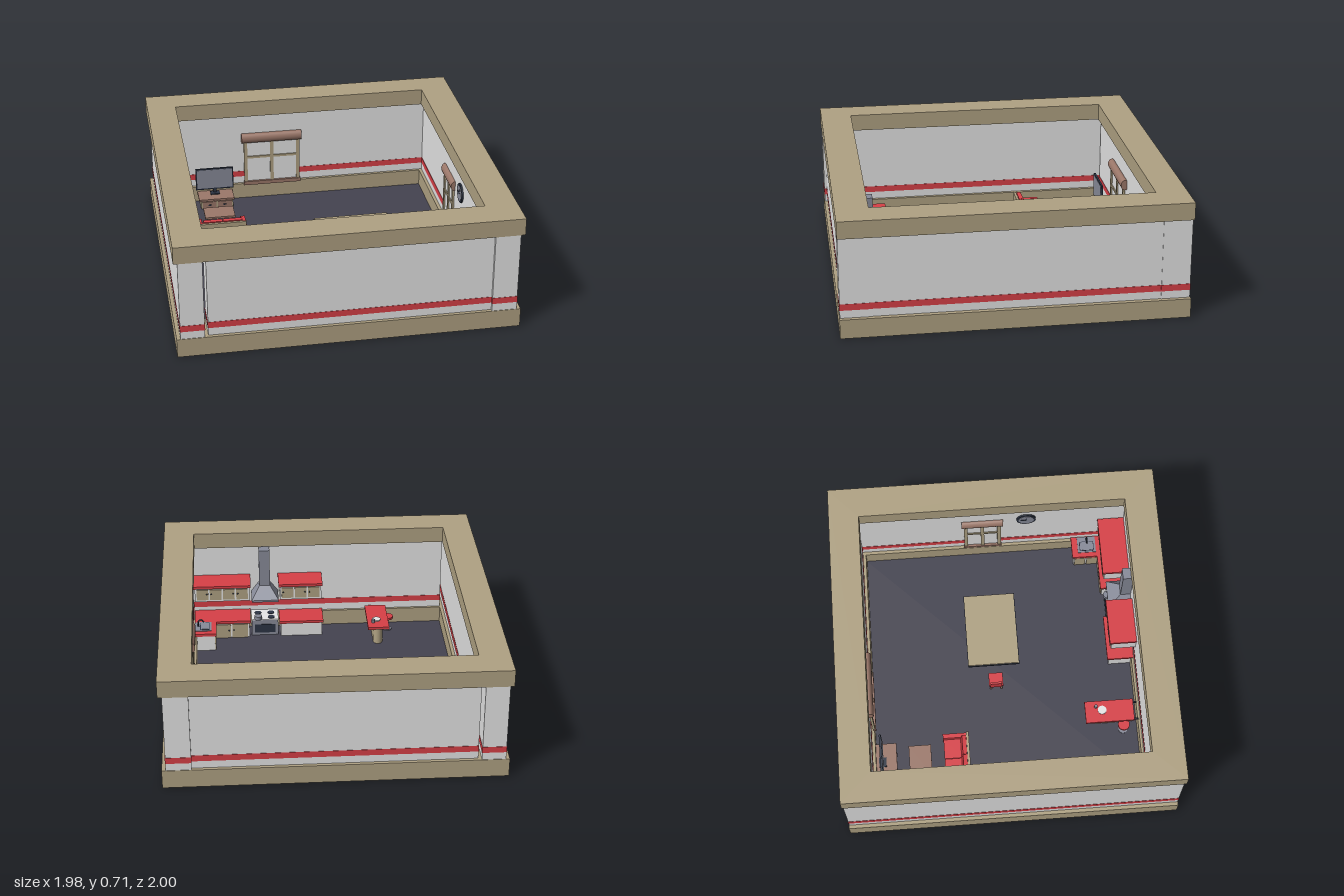
import * as THREE from 'three';

const mat = (name, color) => {
  const m = new THREE.MeshStandardMaterial({ color });
  m.name = name;
  return m;
};

export function createModel() {
  const tan = mat('tan trim', 0xb0a283), wall = mat('pale grey wall', 0xe5e5e5);
  const red = mat('red', 0xd84047), floorMat = mat('dark floor', 0x444350);
  const brown = mat('brown wood', 0x9c786a), steel = mat('steel', 0x888b99);
  const dark = mat('dark blue', 0x2c3444), white = mat('white', 0xf0f0f0);

  const model = new THREE.Group();
  model.name = 'openRoom';
  const group = (name) => {
    const g = new THREE.Group();
    g.name = name;
    model.add(g);
    return g;
  };
  const add = (g, name, geo, m, x = 0, y = 0, z = 0) => {
    const mesh = new THREE.Mesh(geo, m);
    mesh.name = name;
    mesh.position.set(x, y, z);
    g.add(mesh);
    return mesh;
  };
  // Box given by its limits on each axis
  const box = (g, name, m, x0, x1, y0, y1, z0, z1) =>
    add(g, name, new THREE.BoxGeometry(x1 - x0, y1 - y0, z1 - z0), m, (x0 + x1) / 2, (y0 + y1) / 2, (z0 + z1) / 2);
  const disc = (g, name, m, r, h, x, y, z, sides = 20) =>
    add(g, name, new THREE.CylinderGeometry(r, r, h, sides), m, x, y, z);

  // Base and top rings around the room
  const shell = group('shell');
  const rect = (Type, x0, x1, z0, z1) => new Type([
    new THREE.Vector2(x0, -z1), new THREE.Vector2(x1, -z1), new THREE.Vector2(x1, -z0), new THREE.Vector2(x0, -z0)]);
  const ring = (name, y0, y1) => {
    const s = rect(THREE.Shape, -0.99, 0.99, -1, 1);
    s.holes.push(rect(THREE.Path, -0.81, 0.8, -0.817, 0.81));
    const geo = new THREE.ExtrudeGeometry(s, { depth: y1 - y0, bevelEnabled: false });
    geo.rotateX(-Math.PI / 2);
    add(shell, name, geo, tan, 0, y0, 0);
  };
  ring('baseRing', 0.003, 0.118);
  ring('topRing', 0.603, 0.706);
  box(shell, 'floor', floorMat, -0.815, 0.805, 0.004, 0.015, -0.825, 0.815);

  // Walls, each wrapped by a thin red stripe
  [['leftWall', -0.968, -0.83, -0.997, 0.997],
    ['rightWall', 0.82, 0.963, -0.83, 0.83],
    ['frontRightPost', 0.82, 0.966, 0.83, 0.997],
    ['backRightPost', 0.82, 0.966, -0.997, -0.83],
    ['frontWall', -0.81, 0.82, 0.825, 0.98],
    ['backWall', -0.81, 0.82, -0.98, -0.835]].forEach(([n, x0, x1, z0, z1]) => {
    const e = 0.002;
    box(shell, n, wall, x0, x1, 0.118, 0.603, z0, z1);
    box(shell, n + 'Stripe', red, x0 - e, x1 + e, 0.165, 0.203, z0 - e, z1 + e);
  });

  // Window with rounded cornice, built facing +z with half width w
  const makeWindow = (name, w, x, z, turn) => {
    const g = group(name);
    box(g, 'pane', wall, -w, w, 0.13, 0.45, 0, 0.005);
    for (const px of [-w, 0, w]) box(g, 'upright', tan, px - 0.011, px + 0.011, 0.12, 0.45, 0, 0.014);
    box(g, 'crossbar', tan, -w, w, 0.3, 0.315, 0, 0.012);
    box(g, 'sill', brown, -w - 0.015, w + 0.015, 0.11, 0.135, 0, 0.02);
    const cap = add(g, 'cornice', new THREE.CylinderGeometry(0.033, 0.033, 2 * w + 0.05, 20), brown, 0, 0.445, 0.004);
    cap.rotation.z = Math.PI / 2;
    cap.scale.z = 0.75;
    g.position.set(x, 0, z);
    g.rotation.y = turn;
  };
  makeWindow('backWindow', 0.172, -0.195, -0.827, 0);
  makeWindow('sideWindow', 0.105, 0.822, -0.065, -Math.PI / 2);

  // Wall clock
  const clock = group('clock');
  disc(clock, 'rim', dark, 0.06, 0.01, 0, 0, 0, 32);
  disc(clock, 'face', steel, 0.048, 0.004, 0, 0.005, 0, 32);
  box(clock, 'minuteHand', dark, -0.003, 0.003, 0.006, 0.009, -0.04, 0.005);
  box(clock, 'hourHand', dark, -0.005, 0.025, 0.006, 0.009, -0.003, 0.003);
  clock.rotation.z = Math.PI / 2;
  clock.position.set(0.814, 0.475, 0.21);

  // Television on its stand
  const tv = group('television');
  box(tv, 'standBody', tan, -0.68, -0.47, 0, 0.075, -0.82, -0.7);
  box(tv, 'standTop', brown, -0.692, -0.462, 0.072, 0.086, -0.82, -0.69);
  for (const x of [-0.67, -0.57]) {
    box(tv, 'drawer', brown, x, x + 0.09, 0.02, 0.066, -0.702, -0.694);
    box(tv, 'handle', dark, x + 0.035, x + 0.055, 0.04, 0.046, -0.695, -0.688);
  }
  box(tv, 'foot', dark, -0.61, -0.55, 0.086, 0.092, -0.8, -0.755);
  box(tv, 'neck', dark, -0.59, -0.57, 0.09, 0.14, -0.79, -0.78);
  box(tv, 'frame', dark, -0.703, -0.457, 0.118, 0.268, -0.785, -0.773);
  box(tv, 'screen', steel, -0.695, -0.465, 0.128, 0.261, -0.774, -0.771);

  // Coffee table
  const coffee = group('coffeeTable');
  box(coffee, 'top', brown, -0.675, -0.482, 0.055, 0.068, -0.615, -0.478);
  for (const x of [-0.66, -0.51]) for (const z of [-0.605, -0.503])
    box(coffee, 'leg', brown, x, x + 0.014, 0.01, 0.055, z, z + 0.014);

  // Sofa facing the television
  const sofa = group('sofa');
  box(sofa, 'base', red, -0.72, -0.445, 0.02, 0.055, -0.395, -0.26);
  box(sofa, 'backBoard', tan, -0.728, -0.438, 0.02, 0.15, -0.256, -0.24);
  for (const x of [-0.737, -0.46]) box(sofa, 'arm', red, x, x + 0.028, 0.015, 0.105, -0.4, -0.255);
  for (const x of [-0.707, -0.583]) {
    box(sofa, 'seatCushion', red, x, x + 0.121, 0.055, 0.08, -0.397, -0.28);
    const back = box(sofa, 'backCushion', red, x, x + 0.121, 0.07, 0.158, -0.288, -0.262);
    back.rotation.x = 0.12;
  }

  // Dining table on two pedestals
  const dining = group('diningTable');
  box(dining, 'top', tan, -0.012, 0.453, 0.136, 0.15, -0.21, 0.104);
  box(dining, 'edge', dark, -0.016, 0.457, 0.128, 0.142, -0.213, 0.108);
  for (const x of [0.12, 0.315]) {
    box(dining, 'pedestal', brown, x - 0.02, x + 0.02, 0.01, 0.13, -0.075, -0.035);
    box(dining, 'foot', brown, x - 0.035, x + 0.035, 0, 0.025, -0.09, -0.02);
  }

  // Chair facing the table
  const chair = group('chair');
  box(chair, 'seat', red, -0.135, -0.05, 0.075, 0.09, -0.09, -0.002);
  const rest = box(chair, 'backRest', red, -0.146, -0.133, 0.085, 0.165, -0.082, -0.01);
  rest.rotation.z = 0.08;
  for (const x of [-0.13, -0.067]) for (const z of [-0.085, -0.019])
    box(chair, 'leg', brown, x, x + 0.012, 0.012, 0.076, z, z + 0.012);

  // Cabinet with doors and knobs on the -z side
  const cabinet = (name, x0, x1, y0, y1, doors) => {
    const g = group(name), z0 = 0.66;
    box(g, 'body', wall, x0 + 0.008, x1 - 0.008, y0, y1 - 0.015, z0 + 0.012, 0.824);
    box(g, 'worktop', red, x0, x1, y1 - 0.018, y1, z0, 0.824);
    const step = (x1 - x0 - 0.03) / doors;
    for (let i = 0; i < doors; i++) {
      const x = x0 + 0.015 + i * step;
      box(g, 'door', tan, x + 0.005, x + step - 0.005, y0 + 0.015, y1 - 0.027, z0 + 0.005, z0 + 0.014);
      const kx = i % 2 ? x + 0.015 : x + step - 0.015;
      add(g, 'knob', new THREE.SphereGeometry(0.005, 8, 6), dark, kx, (y0 + y1) / 2, z0 + 0.003);
    }
  };
  cabinet('upperCabinetLeft', 0.445, 0.815, 0.285, 0.4, 4);
  cabinet('upperCabinetRight', -0.02, 0.265, 0.285, 0.4, 3);
  cabinet('lowerCabinetLeft', 0.45, 0.815, 0, 0.14, 3);
  cabinet('lowerCabinetRight', -0.025, 0.262, 0.002, 0.128, 0);

  // Sink counter, the short arm of the corner unit
  const sink = group('sinkCounter');
  box(sink, 'body', wall, 0.685, 0.815, 0, 0.125, 0.51, 0.672);
  box(sink, 'worktop', red, 0.675, 0.815, 0.122, 0.14, 0.502, 0.66);
  for (const z of [0.518, 0.595]) box(sink, 'door', tan, 0.677, 0.686, 0.015, 0.113, z, z + 0.068);
  box(sink, 'rim', steel, 0.705, 0.812, 0.139, 0.144, 0.54, 0.655);
  box(sink, 'basinEdge', dark, 0.715, 0.779, 0.143, 0.1455, 0.552, 0.643);
  box(sink, 'basin', steel, 0.719, 0.775, 0.144, 0.147, 0.556, 0.639);
  const spout = new THREE.CatmullRomCurve3([[0.79, 0.14], [0.79, 0.18], [0.772, 0.192], [0.754, 0.175]]
    .map(([x, y]) => new THREE.Vector3(x, y, 0.6)));
  add(sink, 'tap', new THREE.TubeGeometry(spout, 14, 0.005, 8), dark);

  // Stove set back under the hood, with rings and a pan
  const stove = group('stove');
  box(stove, 'body', steel, 0.27, 0.443, 0.016, 0.128, 0.69, 0.824);
  box(stove, 'hob', white, 0.268, 0.445, 0.126, 0.132, 0.688, 0.824);
  box(stove, 'ovenDoor', dark, 0.29, 0.423, 0.035, 0.095, 0.686, 0.692);
  for (const x of [0.315, 0.4]) for (const z of [0.72, 0.78])
    disc(stove, 'burner', dark, 0.022, 0.004, x, 0.133, z);
  disc(stove, 'pan', steel, 0.024, 0.024, 0.4, 0.146, 0.695);

  // Extractor hood: flared canopy under a square chimney
  const hood = group('extractorHood');
  box(hood, 'lip', steel, 0.265, 0.44, 0.262, 0.275, 0.685, 0.824);
  const flare = new THREE.BoxGeometry(0.175, 0.07, 0.139);
  const p = flare.attributes.position;
  for (let i = 0; i < p.count; i++) if (p.getY(i) > 0) {
    p.setX(i, p.getX(i) * 0.4);
    if (p.getZ(i) < 0) p.setZ(i, 0.005);
  }
  flare.computeVertexNormals();
  add(hood, 'canopy', flare, steel, 0.3525, 0.31, 0.7545);
  box(hood, 'chimney', steel, 0.3175, 0.3875, 0.34, 0.598, 0.76, 0.824);

  // Breakfast bar with a rounded base end
  const bar = group('breakfastBar');
  box(bar, 'base', tan, -0.405, -0.345, 0.002, 0.145, 0.56, 0.785);
  disc(bar, 'baseEnd', tan, 0.03, 0.143, -0.375, 0.0735, 0.56);
  box(bar, 'worktop', red, -0.442, -0.305, 0.143, 0.16, 0.487, 0.787);
  for (const x of [-0.432, -0.324])
    box(bar, 'bracket', dark, x, x + 0.008, 0.13, 0.143, 0.7, 0.812);
  disc(bar, 'plate', white, 0.027, 0.006, -0.366, 0.163, 0.592, 24);
  disc(bar, 'cup', steel, 0.01, 0.022, -0.343, 0.171, 0.555, 14);

  // Bar stool
  const stool = group('barStool');
  disc(stool, 'seat', red, 0.036, 0.015, -0.452, 0.105, 0.722, 24);
  disc(stool, 'post', steel, 0.007, 0.09, -0.452, 0.055, 0.722, 12);
  disc(stool, 'foot', steel, 0.028, 0.006, -0.452, 0.018, 0.722, 24);

  return model;
}
